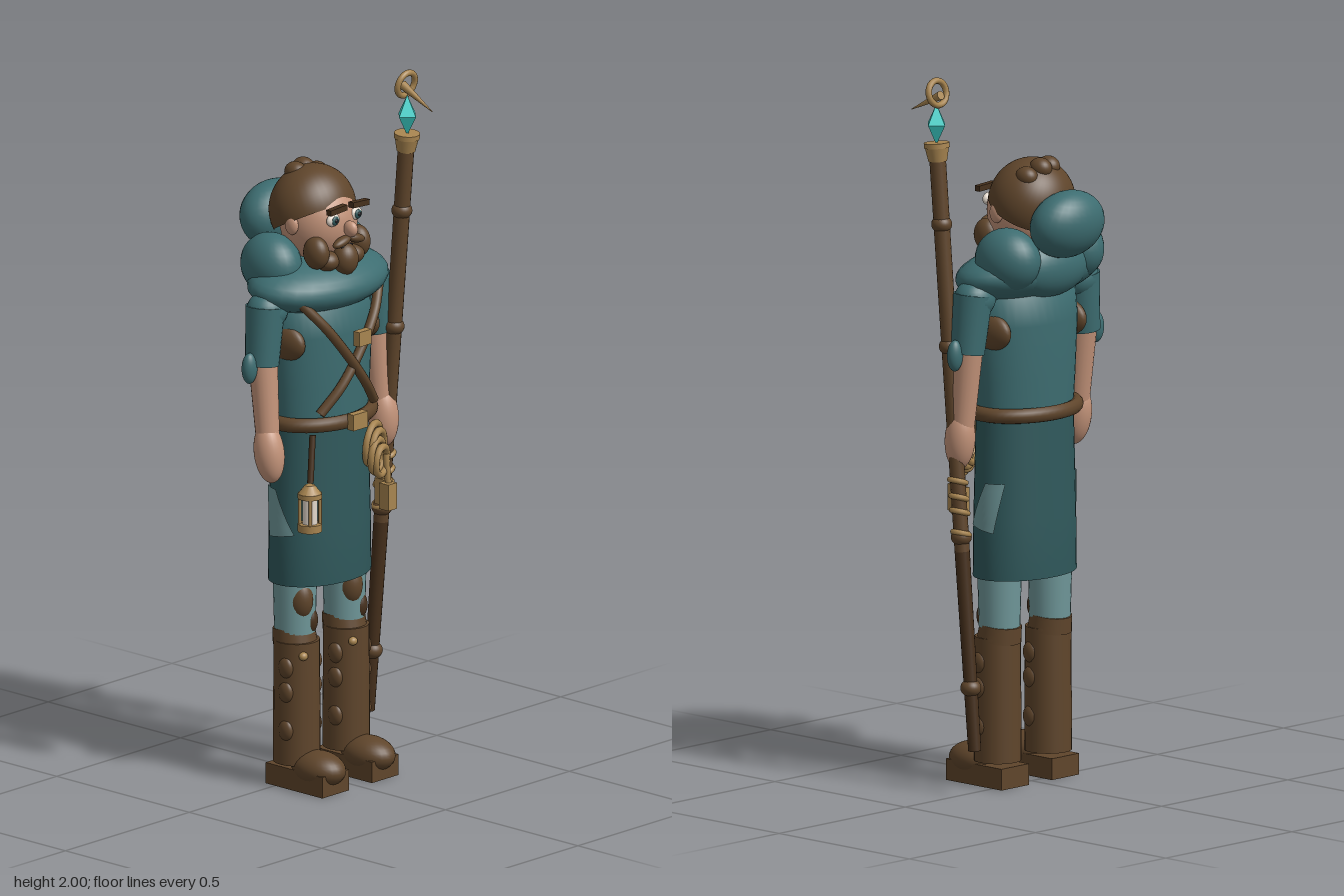
import * as THREE from 'three';

const material = (name, color, side = THREE.FrontSide) => {
  const m = new THREE.MeshStandardMaterial({ color, side });
  m.name = name;
  return m;
};

export function createModel() {
  const teal = material('teal cloth', 0x3d6d71, THREE.DoubleSide);
  const darkTeal = material('dark teal cloth', 0x30595c, THREE.DoubleSide);
  const paleTeal = material('faded teal cloth', 0x6f9799, THREE.DoubleSide);
  const brown = material('brown leather and hair', 0x5f452b, THREE.DoubleSide);
  const darkBrown = material('dark brown', 0x46301c);
  const skin = material('skin', 0xc4947a);
  const gold = material('aged brass and rope', 0xa88550);
  const cyan = material('cyan crystal', 0x3fd8d0);
  const cream = material('cream', 0xe3d8cc);
  const black = material('near black', 0x1c1a1e);
  cyan.flatShading = true;

  const root = new THREE.Group();
  root.name = 'traveller';
  const V = (p) => new THREE.Vector3(...p);

  const add = (name, geo, mat, pos = [0, 0, 0], rot = [0, 0, 0], parent = root) => {
    const m = new THREE.Mesh(geo, mat);
    m.name = name;
    m.position.set(...pos);
    m.rotation.set(...rot);
    parent.add(m);
    return m;
  };
  const ball = (name, mat, pos, r, rot) => {
    const m = add(name, new THREE.SphereGeometry(1, 28, 18), mat, pos, rot);
    m.scale.set(...r);
    return m;
  };
  const box = (name, mat, pos, size, rot) => add(name, new THREE.BoxGeometry(...size), mat, pos, rot);
  // Tapered cylinder from a to b
  const rod = (name, mat, a, b, r0, r1 = r0, sides = 16) => {
    const d = V(b).sub(V(a));
    const m = add(name, new THREE.CylinderGeometry(r1, r0, d.length(), sides), mat,
      V(a).addScaledVector(d, 0.5).toArray());
    m.quaternion.setFromUnitVectors(new THREE.Vector3(0, 1, 0), d.normalize());
    return m;
  };
  // Elliptical lathe body, profile in [radius x, y]
  const body = (name, mat, pts, depth) => {
    const m = add(name, new THREE.LatheGeometry(pts.map((p) => new THREE.Vector2(...p)), 40), mat, [0, 0, 0.025]);
    m.scale.z = depth;
    return m;
  };

  // Tunic
  body('tunicTop', teal, [[0.158, 1.04], [0.165, 1.15], [0.172, 1.3], [0.165, 1.38], [0.1, 1.44], [0, 1.45]], 0.68);
  body('tunicSkirt', darkTeal, [[0, 0.6], [0.155, 0.59], [0.168, 0.587], [0.166, 0.75], [0.158, 1.05]], 0.69);
  const belt = add('belt', new THREE.TorusGeometry(0.163, 0.021, 12, 48), brown, [0, 1.052, 0.025], [Math.PI / 2, 0, 0]);
  belt.scale.y = 0.76;
  box('beltBuckle', gold, [-0.003, 1.055, 0.172], [0.058, 0.046, 0.022]);

  // Crossed chest straps
  for (const s of [1, -1]) {
    const path = new THREE.CatmullRomCurve3([
      [-0.16, 1.41, 0.1], [-0.1, 1.335, 0.137], [-0.02, 1.235, 0.152], [0.045, 1.155, 0.148], [0.105, 1.085, 0.125],
    ].map(([x, y, z]) => new THREE.Vector3(x * s, y, z + (s > 0 ? 0.006 : 0))));
    add('chestStrap', new THREE.TubeGeometry(path, 24, 0.014, 10), brown);
  }
  box('strapClasp', gold, [0.016, 1.29, 0.172], [0.05, 0.042, 0.022]);

  // Cowl and hood
  ball('cowl', teal, [0, 1.435, 0.018], [0.24, 0.078, 0.148], [0.12, 0, 0]);
  ball('hoodBack', teal, [0, 1.588, -0.138], [0.123, 0.096, 0.08], [-0.25, 0, 0]);
  ball('hoodNape', teal, [0, 1.46, -0.07], [0.14, 0.085, 0.068]);
  for (const s of [1, -1]) ball('hoodSide', teal, [s * 0.13, 1.49, -0.036], [0.077, 0.09, 0.098], [0, s * 0.15, 0]);

  // Head
  rod('neck', skin, [0, 1.4, 0], [0, 1.55, 0], 0.06);
  ball('face', skin, [0, 1.605, 0.02], [0.108, 0.12, 0.11]);
  const cap = new THREE.SphereGeometry(1, 40, 24, 0, Math.PI * 2, 0, 1.75);
  cap.rotateX(-0.45);
  add('hair', cap, brown, [0, 1.632, -0.002]).scale.set(0.127, 0.124, 0.116);
  for (const [x, y, z] of [[-0.027, 1.733, -0.04], [0.015, 1.735, -0.05], [0.06, 1.715, -0.04]])
    ball('hairTuft', brown, [x, y, z], [0.029, 0.029, 0.034]);
  for (const s of [1, -1]) {
    ball('ear', skin, [s * 0.113, 1.612, 0.025], [0.014, 0.028, 0.022]);
    box('eyebrow', darkBrown, [s * 0.045, 1.662, 0.132], [0.066, 0.016, 0.018], [0, 0, s * -0.06]);
    ball('eyeWhite', cream, [s * 0.046, 1.63, 0.118], [0.023, 0.018, 0.012]);
    ball('iris', darkTeal, [s * 0.046, 1.63, 0.127], [0.013, 0.013, 0.006]);
    ball('pupil', black, [s * 0.046, 1.63, 0.132], [0.006, 0.006, 0.003]);
    ball('moustache', brown, [s * 0.028, 1.567, 0.135], [0.034, 0.013, 0.016], [0, 0, s * -0.25]);
    ball('beardSide', brown, [s * 0.083, 1.538, 0.09], [0.032, 0.046, 0.04]);
    ball('beardJaw', brown, [s * 0.05, 1.51, 0.1], [0.035, 0.028, 0.035]);
  }
  ball('nose', skin, [0, 1.6, 0.142], [0.016, 0.023, 0.023]);
  ball('mouth', black, [0, 1.548, 0.127], [0.024, 0.007, 0.008]);
  ball('beardChin', brown, [0, 1.51, 0.122], [0.038, 0.046, 0.036]);

  // Arms
  for (const s of [1, -1]) {
    const z = s > 0 ? 0.045 : 0.055;
    ball('shoulder', teal, [s * 0.205, 1.385, 0.018], [0.062, 0.055, 0.055]);
    rod('sleeve', teal, [s * 0.212, 1.4, 0.018], [s * 0.229, 1.235, 0.022], 0.055, 0.047, 24);
    ball('sleeveCuff', teal, [s * 0.28, 1.235, 0.022], [0.024, 0.044, 0.02]);
    ball('armpitPatch', brown, [s * 0.15, 1.285, 0.022], [0.031, 0.055, 0.085]);
    rod('forearm', skin, [s * 0.226, 1.25, 0.022], [s * 0.233, 1.03, z - 0.008], 0.041, 0.033, 20);
    ball('hand', skin, [s * 0.236, 0.99, z], [0.042, 0.086, 0.043], [s > 0 ? -0.08 : -0.15, 0, 0]);
  }

  // Legs and boots
  for (const s of [1, -1]) {
    const x = s * 0.1;
    rod('trouserLeg', paleTeal, [x, 0.4, 0.025], [x, 0.62, 0.025], 0.056, 0.062, 24);
    ball('kneePatch', brown, [x - 0.012, 0.54, 0.052], [0.036, 0.06, 0.042]);
    ball('kneePatchLower', darkBrown, [x + 0.016, 0.475, 0.052], [0.03, 0.045, 0.036]);
    rod('bootShaft', brown, [x, 0.07, 0.032], [x, 0.42, 0.032], 0.066, 0.064, 24);
    rod('bootTop', brown, [x, 0.41, 0.026], [x, 0.455, 0.02], 0.062, 0.058, 24);
    box('bootSole', brown, [x, 0.03, 0.072], [0.108, 0.06, 0.214]);
    ball('bootToe', brown, [x, 0.062, 0.115], [0.062, 0.05, 0.086]);
    ball('bootStud', gold, [x - 0.035, 0.387, 0.09], [0.014, 0.012, 0.012]);
    for (const y of [0.17, 0.28, 0.35])
      for (const t of [1, -1]) ball('bootLace', brown, [x + t * 0.058, y, 0.045], [0.015, 0.03, 0.024]);
  }

  // Cloth patches on both sides of the skirt, bent around it
  for (const s of [1, -1]) {
    const geo = new THREE.PlaneGeometry(1, 1, 8, 6);
    const p = geo.attributes.position;
    for (let i = 0; i < p.count; i++) {
      const u = p.getX(i) + 0.5, v = p.getY(i) + 0.5;
      const y = 0.72 + 0.14 * v + 0.015 * (1 - u) * (1 - v);
      const z = (0.075 - 0.06 * v) * (1 - u) + (-0.012 - 0.025 * v) * u;
      const rx = 0.171 - 0.009 * Math.max(0, (y - 0.75) / 0.3);
      p.setXYZ(i, s * rx * Math.sqrt(1 - ((z - 0.025) / (rx * 0.69)) ** 2), y, z);
    }
    geo.computeVertexNormals();
    add('skirtPatch', geo, paleTeal);
  }

  // Rope coil with hanging ends
  for (let i = 0; i < 4; i++) {
    const r = add('ropeCoil', new THREE.TorusGeometry(0.05 - i * 0.004, 0.01, 8, 28), gold,
      [0.108 + (i % 2) * 0.01, 0.955 - i * 0.016, 0.125 + i * 0.008], [0.1, 0.35, i * 0.2]);
    r.scale.y = 1.15;
  }
  rod('ropeEnd', gold, [0.145, 0.92, 0.14], [0.15, 0.82, 0.145], 0.009);
  rod('ropeEnd', gold, [0.16, 0.92, 0.11], [0.172, 0.82, 0.105], 0.009);
  box('ropeWeight', gold, [0.145, 0.8, 0.147], [0.034, 0.075, 0.036]);
  box('ropeWeight', gold, [0.173, 0.8, 0.105], [0.034, 0.075, 0.036]);

  // Belt lantern
  const lx = -0.157, lz = 0.135;
  rod('lanternStrap', darkBrown, [-0.13, 1.03, 0.12], [-0.155, 0.9, lz], 0.009);
  rod('lanternCap', gold, [lx, 0.87, lz], [lx, 0.895, lz], 0.034, 0.014);
  rod('lanternRim', gold, [lx, 0.858, lz], [lx, 0.872, lz], 0.034);
  rod('lanternBase', gold, [lx, 0.763, lz], [lx, 0.785, lz], 0.034);
  rod('lanternGlass', cream, [lx, 0.785, lz], [lx, 0.86, lz], 0.021);
  for (let i = 0; i < 4; i++) {
    const a = Math.PI / 4 + i * Math.PI / 2, x = lx + 0.028 * Math.cos(a), z = lz + 0.028 * Math.sin(a);
    rod('lanternBar', gold, [x, 0.78, z], [x, 0.862, z], 0.005, 0.005, 8);
  }

  // Leaning staff
  const at = (y) => [0.25, y, -0.025 + (y - 0.125) * 0.0865];
  rod('staffLower', darkBrown, at(0.125), at(0.68), 0.018, 0.021);
  rod('staffUpper', brown, at(0.68), at(1.79), 0.021, 0.023);
  for (const y of [0.3, 0.72, 1.25, 1.59]) ball('staffKnot', brown, at(y), [0.029, 0.025, 0.029]);
  for (const y of [0.73, 0.79, 0.83, 0.875])
    add('staffBinding', new THREE.TorusGeometry(0.023, 0.008, 8, 20), gold, at(y), [Math.PI / 2, 0.3, 0]);
  rod('staffCollar', gold, at(1.765), at(1.805), 0.026, 0.034, 20);
  rod('staffCollarRim', gold, at(1.803), at(1.817), 0.036, 0.036, 20);
  add('crystal', new THREE.OctahedronGeometry(1), cyan, [0.25, 1.868, 0.122]).scale.set(0.033, 0.058, 0.033);
  add('staffRing', new THREE.TorusGeometry(0.034, 0.009, 10, 28), gold, [0.25, 1.957, 0.118], [0.2, 0, 0]);
  rod('staffSpike', gold, [0.25, 1.952, 0.105], [0.25, 1.897, 0.217], 0.013, 0.001, 12);

  return root;
}
